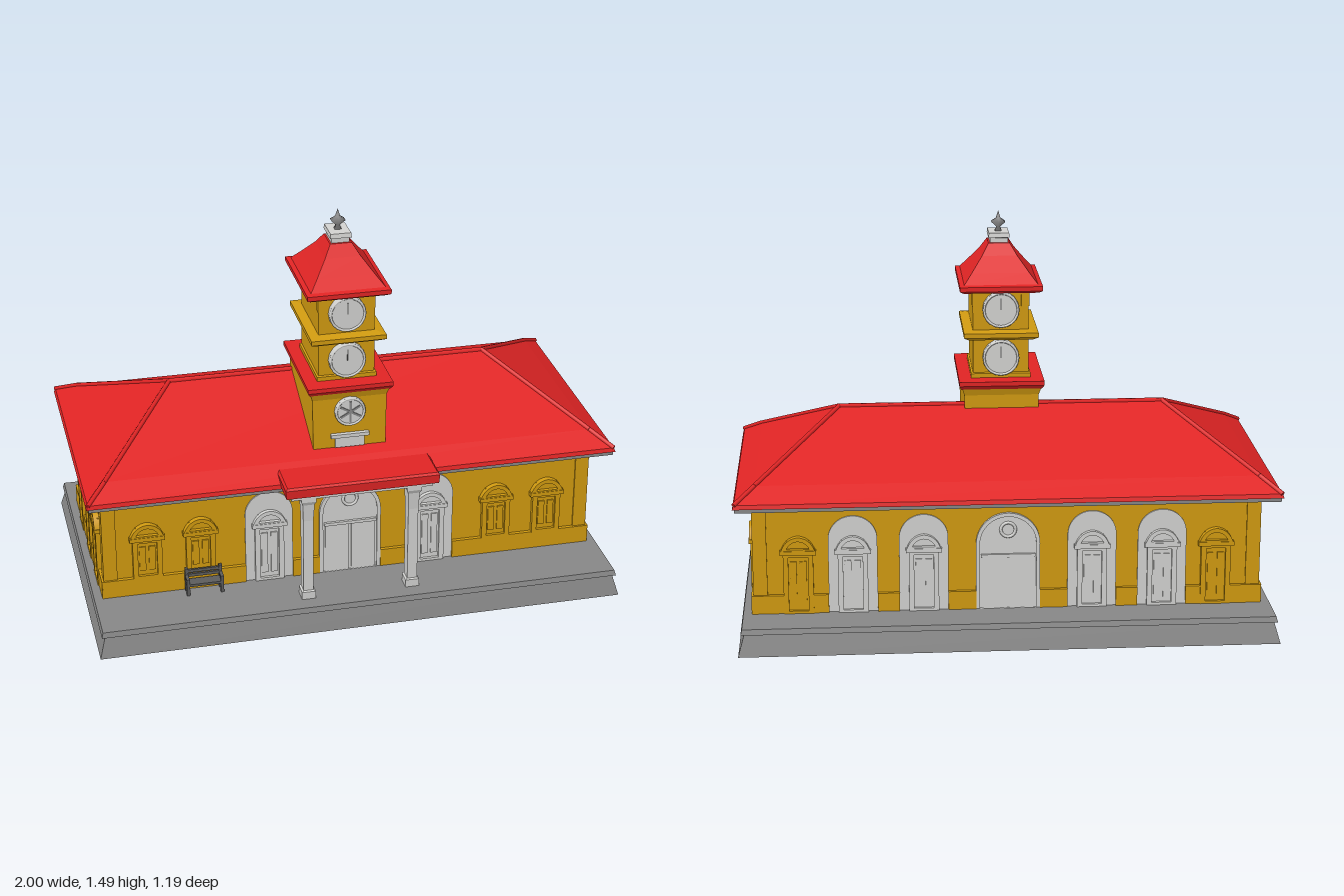
import * as THREE from 'three';

const mat = (name, color, extra = {}) => Object.assign(new THREE.MeshStandardMaterial({ color, ...extra }), { name });

export function createModel() {
  const red = mat('roof red', 0xe02424);
  const ochre = mat('wall ochre', 0xd09a10);
  const stone = mat('platform grey', 0x878787);
  const white = mat('trim white', 0xd2d2d0);
  const iron = mat('bench grey', 0x5c5c5c);
  const root = new THREE.Group();
  root.name = 'stationBuilding';

  const add = (parent, name, geo, material, x = 0, y = 0, z = 0) => {
    const m = new THREE.Mesh(geo, material);
    m.name = name;
    m.position.set(x, y, z);
    parent.add(m);
    return m;
  };
  // Box given by its limits
  const box = (parent, name, material, x0, x1, y0, y1, z0, z1) =>
    add(parent, name, new THREE.BoxGeometry(x1 - x0, y1 - y0, z1 - z0), material, (x0 + x1) / 2, (y0 + y1) / 2, (z0 + z1) / 2);

  // Stack of rectangles [y, half x, half z], flat shaded
  const loft = (rings) => {
    const pos = [], idx = [], last = (rings.length - 1) * 4;
    for (const [y, hx, hz] of rings) pos.push(-hx, y, hz, hx, y, hz, hx, y, -hz, -hx, y, -hz);
    for (let r = 0; r < last; r += 4) {
      for (let i = 0; i < 4; i++) {
        const a = r + i, b = r + (i + 1) % 4;
        idx.push(a, b, b + 4, a, b + 4, a + 4);
      }
    }
    idx.push(0, 2, 1, 0, 3, 2, last, last + 1, last + 2, last, last + 2, last + 3);
    let g = new THREE.BufferGeometry();
    g.setAttribute('position', new THREE.Float32BufferAttribute(pos, 3));
    g.setIndex(idx);
    g = g.toNonIndexed();
    g.computeVertexNormals();
    return g;
  };

  // Round-headed outline standing on y0
  const archShape = (hw, y0, top) => {
    const s = new THREE.Shape();
    s.moveTo(-hw, y0);
    s.lineTo(hw, y0);
    s.lineTo(hw, top - hw);
    s.absarc(0, top - hw, hw, 0, Math.PI, false);
    s.lineTo(-hw, y0);
    return s;
  };
  const plate = (shape, depth) => new THREE.ExtrudeGeometry(shape, { depth, bevelEnabled: false, curveSegments: 12 });

  // Door or window with frame, leaf and curved hood
  const opening = (parent, material, u, y0) => {
    const g = new THREE.Group();
    g.name = y0 > 0.12 ? 'window' : 'door';
    g.position.x = u;
    parent.add(g);
    const frame = new THREE.Shape([[-0.055, y0], [0.055, y0], [0.055, 0.335], [-0.055, 0.335]].map(p => new THREE.Vector2(...p)));
    frame.holes.push(new THREE.Path([[-0.036, y0 + 0.01], [-0.036, 0.318], [0.036, 0.318], [0.036, y0 + 0.01]].map(p => new THREE.Vector2(...p))));
    add(g, 'frame', plate(frame, 0.018), material);
    box(g, 'leaf', material, -0.036, 0.036, y0, 0.318, 0, 0.007);
    for (const s of [-1, 1]) box(g, 'leafPanel', material, s * 0.018 - 0.012, s * 0.018 + 0.012, y0 + 0.03, 0.3, 0.007, 0.012);
    box(g, 'lintel', material, -0.066, 0.066, 0.328, 0.344, 0, 0.024);
    const hood = new THREE.Shape();
    hood.moveTo(-0.062, 0.344);
    hood.lineTo(0.062, 0.344);
    hood.quadraticCurveTo(0.045, 0.392, 0, 0.396);
    hood.quadraticCurveTo(-0.045, 0.392, -0.062, 0.344);
    const inner = new THREE.Path();
    inner.moveTo(-0.042, 0.35);
    inner.quadraticCurveTo(-0.03, 0.378, 0, 0.38);
    inner.quadraticCurveTo(0.03, 0.378, 0.042, 0.35);
    hood.holes.push(inner);
    add(g, 'hood', plate(hood, 0.022), material);
    box(g, 'hoodInfill', material, -0.042, 0.042, 0.344, 0.38, 0, 0.008);
  };

  // One decorated wall face; openings are [u, kind]
  const facade = (name, x, z, turn, half, openings) => {
    const g = new THREE.Group();
    g.name = name;
    g.position.set(x, 0, z);
    g.rotation.y = turn;
    root.add(g);
    let from = -half - 0.012;
    const plinth = (to) => to > from && box(g, 'plinth', ochre, from, to, 0.1, 0.17, 0, 0.014);
    for (const [u, kind] of [...openings].sort((a, b) => a[0] - b[0])) {
      const hw = { grand: 0.118, arch: 0.09, door: 0.055, window: 0 }[kind];
      if (hw) { plinth(u - hw); from = u + hw; }
      if (kind === 'grand' || kind === 'arch') add(g, 'archPanel', plate(archShape(hw, 0.1, 0.47), 0.006), white, u);
      if (kind === 'grand') {
        const rim = archShape(hw, 0.1, 0.47);
        rim.holes.push(new THREE.Path(archShape(hw - 0.014, 0.101, 0.456).getPoints(12)));
        add(g, 'archRim', plate(rim, 0.012), white, u);
        box(g, 'entranceLintel', white, u - 0.1, u + 0.1, 0.3, 0.312, 0, 0.016);
        for (const s of [-1, 1]) box(g, 'entranceDoor', white, u + s * 0.05 - 0.045, u + s * 0.05 + 0.045, 0.1, 0.3, 0, 0.011);
        add(g, 'medallion', new THREE.TorusGeometry(0.027, 0.006, 6, 16), white, u, 0.405, 0.008);
      } else opening(g, kind === 'arch' ? white : ochre, u, kind === 'window' ? 0.17 : 0.1);
    }
    plinth(half + 0.012);
    // Corner pilasters and the band below the eaves
    for (const s of [-1, 1]) box(g, 'cornerPilaster', ochre, s * (half - 0.02) - 0.026, s * (half - 0.02) + 0.026, 0.17, 0.53, 0, 0.006);
    box(g, 'eavesBand', ochre, -half, half, 0.5, 0.53, 0, 0.012);
  };

  // Platform
  add(root, 'platform', loft([[0, 0.99, 0.594], [0.078, 0.968, 0.572], [0.08, 0.98, 0.582], [0.1, 0.975, 0.576]]), stone);

  // Main hall
  box(root, 'hallWalls', ochre, -0.93, 0.93, 0.1, 0.535, -0.41, 0.33);
  const outer = [-0.77, 0.77], mid = [-0.57, 0.57], near = [-0.31, 0.31];
  const each = (list, kind) => list.map(u => [u, kind]);
  facade('frontFacade', 0, 0.33, 0, 0.93, [[0, 'grand'], ...each(near, 'arch'), ...each([...mid, ...outer], 'window')]);
  facade('backFacade', 0, -0.41, Math.PI, 0.93, [[0, 'grand'], ...each([...near, ...mid], 'arch'), ...each(outer, 'door')]);
  facade('leftFacade', 0.93, -0.04, Math.PI / 2, 0.37, each([-0.23, -0.03, 0.19], 'door'));
  facade('rightFacade', -0.93, -0.04, -Math.PI / 2, 0.37, each([-0.19, 0.03, 0.23], 'door'));

  // Hipped roof with flared eaves, grey soffit and ridge tiles
  const roofRings = [[0.54, 0.998, 0.49], [0.556, 0.992, 0.486], [0.602, 0.92, 0.405], [0.782, 0.61, 0]];
  add(root, 'mainRoof', loft(roofRings), red, 0, 0, -0.04);
  box(root, 'soffit', stone, -0.99, 0.99, 0.526, 0.541, -0.525, 0.445);
  const ridge = (a, b, r) => {
    const dir = b.clone().sub(a);
    const m = add(root, 'ridgeTiles', new THREE.CylinderGeometry(r, r, dir.length(), 6), red);
    m.position.copy(a).add(b).multiplyScalar(0.5);
    m.quaternion.setFromUnitVectors(new THREE.Vector3(0, 1, 0), dir.normalize());
  };
  const V = (x, y, z) => new THREE.Vector3(x, y, z);
  ridge(V(-0.61, 0.78, -0.04), V(0.61, 0.78, -0.04), 0.01);
  for (const sx of [-1, 1]) for (const sz of [-1, 1]) {
    const pts = roofRings.slice(1).map(([y, x, z]) => V(sx * x, y, sz * z - 0.04));
    for (let i = 0; i < pts.length - 1; i++) ridge(pts[i], pts[i + 1], 0.009);
  }

  // Entrance porch
  add(root, 'porchRoof', loft([[0.546, 0.285, 0.14], [0.58, 0.288, 0.142], [0.588, 0.28, 0.135]]), red, 0, 0, 0.403);
  box(root, 'porchCeiling', white, -0.265, 0.265, 0.53, 0.547, 0.4, 0.53);
  for (const s of [-1, 1]) {
    add(root, 'porchColumn', loft([[0.1, 0.026, 0.028], [0.13, 0.026, 0.028], [0.135, 0.019, 0.023],
      [0.43, 0.019, 0.023], [0.5, 0.022, 0.03], [0.515, 0.028, 0.038], [0.535, 0.028, 0.038]]), white, s * 0.198, 0, 0.488);
  }

  // Bench beside the entrance
  const bench = new THREE.Group();
  bench.name = 'bench';
  bench.position.set(-0.565, 0, 0.37);
  root.add(bench);
  box(bench, 'benchSeat', iron, -0.07, 0.07, 0.137, 0.147, -0.02, 0.025);
  for (const y of [0.158, 0.176]) box(bench, 'benchSlat', iron, -0.07, 0.07, y, y + 0.012, -0.022, -0.014);
  for (const s of [-1, 1]) {
    box(bench, 'benchLeg', iron, s * 0.064 - 0.006, s * 0.064 + 0.006, 0.1, 0.165, 0.013, 0.025);
    box(bench, 'benchBackLeg', iron, s * 0.064 - 0.006, s * 0.064 + 0.006, 0.1, 0.195, -0.024, -0.012);
    box(bench, 'benchArm', iron, s * 0.064 - 0.006, s * 0.064 + 0.006, 0.16, 0.168, -0.02, 0.025);
  }

  // Clock tower, built around its own axis
  const tower = new THREE.Group();
  tower.name = 'clockTower';
  tower.position.z = 0.128;
  root.add(tower);
  const tier = (name, material, rings) => add(tower, name, loft(rings), material);
  tier('towerFoot', ochre, [[0.57, 0.136, 0.196], [0.82, 0.14, 0.196], [0.85, 0.15, 0.206]]);
  tier('lowerCornice', red, [[0.845, 0.152, 0.205], [0.86, 0.16, 0.217], [0.876, 0.16, 0.217]]);
  tier('lowerStage', ochre, [[0.87, 0.112, 0.152], [0.892, 0.112, 0.152], [0.895, 0.105, 0.144], [1.03, 0.105, 0.144]]);
  tier('middleCornice', ochre, [[1.025, 0.12, 0.165], [1.038, 0.14, 0.187], [1.055, 0.14, 0.187], [1.06, 0.11, 0.15]]);
  tier('upperStage', ochre, [[1.05, 0.105, 0.144], [1.215, 0.105, 0.144]]);
  tier('towerRoof', red, [[1.207, 0.14, 0.175], [1.217, 0.155, 0.192], [1.234, 0.155, 0.192], [1.238, 0.138, 0.172],
    [1.275, 0.108, 0.135], [1.33, 0.066, 0.083], [1.372, 0.04, 0.052]]);
  tier('finialBlock', white, [[1.368, 0.034, 0.044], [1.39, 0.034, 0.044], [1.393, 0.04, 0.055], [1.41, 0.038, 0.052]]);
  const finial = [[0, 1.405], [0.016, 1.408], [0.008, 1.425], [0.03, 1.445], [0.01, 1.458], [0, 1.487]].map(p => new THREE.Vector2(...p));
  add(tower, 'finial', new THREE.LatheGeometry(finial, 6), stone);
  for (const sx of [-1, 1]) for (const sz of [-1, 1]) {
    box(tower, 'roofBracket', ochre, sx * 0.092 - 0.015, sx * 0.092 + 0.015, 1.15, 1.21, sz * 0.13 - 0.018, sz * 0.13 + 0.018);
  }

  // Clocks: rimmed discs with two hands
  const clock = (y, z, r, side) => {
    const c = new THREE.Group();
    c.name = 'clock';
    c.position.set(0, y, side * z);
    c.rotation.y = side > 0 ? 0 : Math.PI;
    tower.add(c);
    add(c, 'clockFace', new THREE.CylinderGeometry(r, r, 0.024, 16), white, 0, 0, 0.004).rotation.x = Math.PI / 2;
    add(c, 'clockRim', new THREE.TorusGeometry(r - 0.005, 0.005, 6, 20), white, 0, 0, 0.016);
    box(c, 'minuteHand', iron, -0.002, 0.002, 0, r * 0.65, 0.016, 0.018);
  };
  for (const side of [-1, 1]) for (const y of [0.955, 1.14]) clock(y, 0.148, 0.069, side);
  clock(0.768, 0.193, 0.058, 1);
  for (let i = 0; i < 3; i++) {
    add(tower, 'rosetteBar', new THREE.BoxGeometry(0.008, 0.085, 0.006), stone, 0, 0.768, 0.21).rotation.z = i * Math.PI / 3;
  }
  box(tower, 'towerSill', white, -0.072, 0.072, 0.664, 0.678, 0.19, 0.212);
  box(tower, 'towerPanel', white, -0.055, 0.055, 0.622, 0.664, 0.19, 0.204);

  return root;
}
